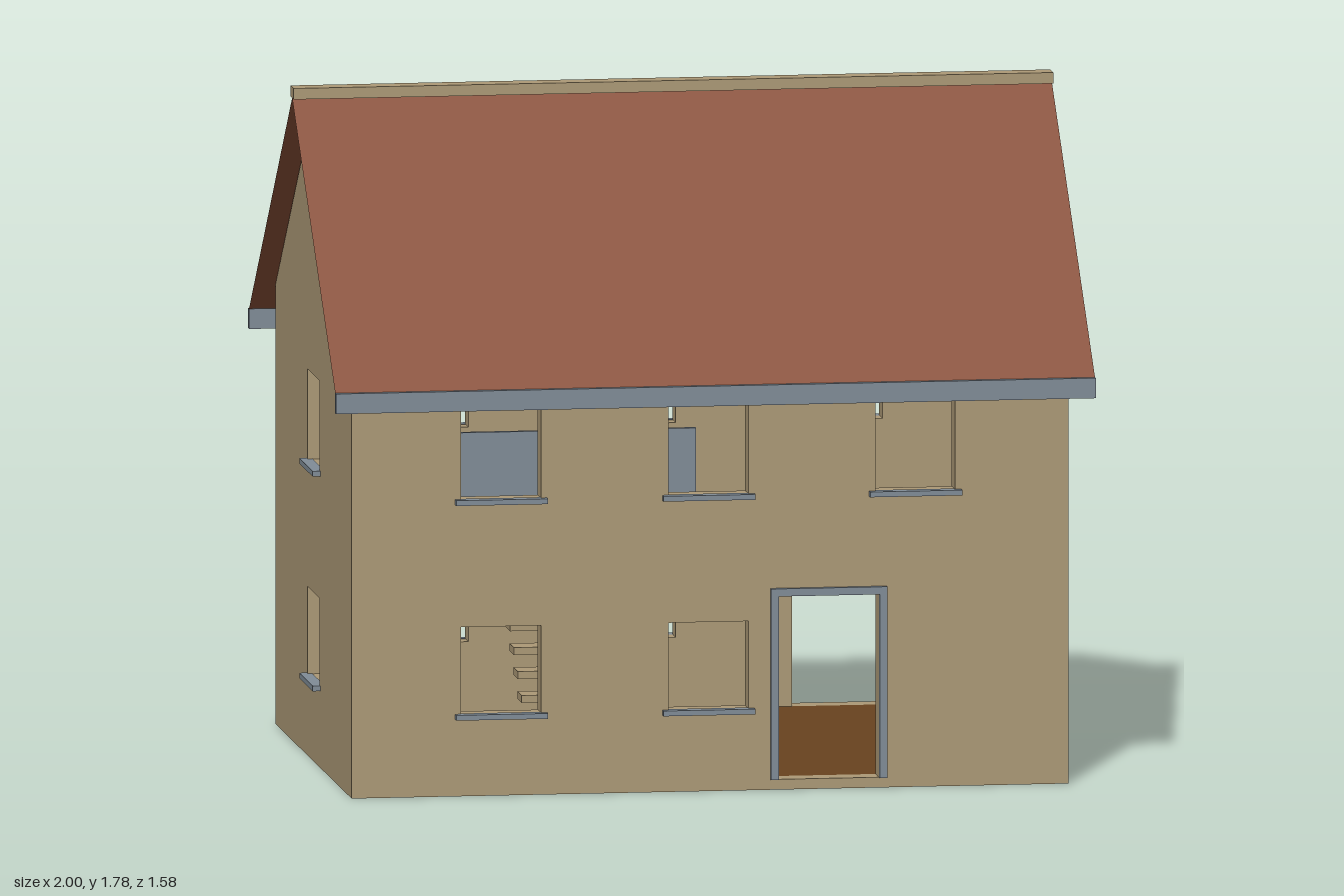
import * as THREE from 'three';

const mat = (name, color, double) => {
  const m = new THREE.MeshStandardMaterial({ color });
  m.name = name;
  if (double) m.side = THREE.DoubleSide;
  return m;
};

export function createModel() {
  const house = new THREE.Group();
  house.name = 'house';
  const stone = mat('tan stone', 0xac9976);
  const tile = mat('terracotta tile', 0x874e37, true);
  const trim = mat('slate trim', 0x808c97);
  const wood = mat('brown floor', 0x68431f);
  const plaster = mat('pale ceiling', 0xcdcbc9);

  const W = 0.943, D = 0.683, T = 0.06;       // half width, half depth, wall thickness
  const BASE = 0.01, EAVE = 1.168, APEX = 1.747;

  // Box given by its minimum and maximum corners
  const box = (name, m, x0, x1, y0, y1, z0, z1, parent = house) => {
    const mesh = new THREE.Mesh(new THREE.BoxGeometry(x1 - x0, y1 - y0, z1 - z0), m);
    mesh.position.set((x0 + x1) / 2, (y0 + y1) / 2, (z0 + z1) / 2);
    mesh.name = name;
    parent.add(mesh);
    return mesh;
  };

  // Wall in its own frame: outer face at z = 0, openings are [centre, width, bottom, top, kind]
  const wall = (name, outline, openings, place) => {
    const g = new THREE.Group();
    g.name = name;
    const shape = new THREE.Shape(outline.map(p => new THREE.Vector2(...p)));
    for (const [c, w, y0, y1, kind] of openings) {
      const a = c - w / 2, b = c + w / 2;
      shape.holes.push(new THREE.Path([[a, y0], [a, y1], [b, y1], [b, y0]].map(p => new THREE.Vector2(...p))));
      if (kind === 'door') {
        const f = 0.02;
        box('doorFrameSide', trim, a - f, a, y0, y1 + f, -0.012, 0.013, g);
        box('doorFrameSide', trim, b, b + f, y0, y1 + f, -0.012, 0.013, g);
        box('doorFrameTop', trim, a, b, y1, y1 + f, -0.012, 0.013, g);
      } else {
        box('windowSill', trim, a - 0.016, b + 0.016, y0 - 0.013, y0 + 0.001, -0.012, 0.02, g);
      }
    }
    const geo = new THREE.ExtrudeGeometry(shape, { depth: T, bevelEnabled: false });
    geo.translate(0, 0, -T);
    const mesh = new THREE.Mesh(geo, stone);
    mesh.name = name + 'Panel';
    g.add(mesh);
    place(g);
    house.add(g);
  };

  const low = c => [c, 0.21, 0.225, 0.455, 'window'];
  const high = c => [c, 0.21, 0.79, 1.027, 'window'];
  const door = c => [c, 0.266, 0.037, 0.52, 'door'];
  const longSide = [[-W, BASE], [W, BASE], [W, EAVE - 0.002], [-W, EAVE - 0.002]];
  const E = D - 0.001;
  const gable = [[-E, BASE], [E, BASE], [E, EAVE], [0, APEX], [-E, EAVE]];

  wall('frontWall', longSide,
    [low(-0.55), low(-0.004), door(0.312), high(-0.55), high(-0.004), high(0.54)],
    g => { g.position.z = D; });
  wall('backWall', longSide,
    [low(0.55), low(0.004), door(-0.54), high(0.55), high(0.004), high(-0.54)],
    g => { g.position.z = -D; g.rotation.y = Math.PI; });
  for (const s of [-1, 1]) {
    wall(s > 0 ? 'leftGable' : 'rightGable', gable, [low(0), high(0)],
      g => { g.position.x = s * (W + 0.0005); g.rotation.y = s * Math.PI / 2; });
  }

  // Ground slab and floor boards
  const ix = W - T, iz = D - T;
  box('groundSlab', stone, -W + 0.001, W - 0.001, BASE, 0.03, -D + 0.001, D - 0.001);
  box('groundFloor', wood, -ix, ix, 0.03, 0.037, -iz, iz);

  // Upper floor and ceiling with a stairwell
  const flat = (name, m, y, h, hole) => {
    const s = new THREE.Shape([[-ix, -iz], [ix, -iz], [ix, iz], [-ix, iz]].map(p => new THREE.Vector2(...p)));
    if (hole) s.holes.push(new THREE.Path([[-0.44, -0.36], [-0.44, 0.25], [-0.1, 0.25], [-0.1, -0.36]].map(p => new THREE.Vector2(...p))));
    const geo = new THREE.ExtrudeGeometry(s, { depth: h, bevelEnabled: false });
    geo.rotateX(-Math.PI / 2);
    const mesh = new THREE.Mesh(geo, m);
    mesh.position.y = y;
    mesh.name = name;
    house.add(mesh);
  };
  flat('lowerCeiling', plaster, 0.53, 0.015, true);
  flat('upperFloor', wood, 0.545, 0.015, true);
  flat('upperCeiling', plaster, 1.12, 0.02, false);

  // Open stairs rising towards the back, with a balustrade above
  const stairs = new THREE.Group();
  stairs.name = 'stairs';
  house.add(stairs);
  for (let i = 0; i < 9; i++) {
    const y = 0.08 + i * 0.053, z = 0.34 - i * 0.07;
    box('stairTread', stone, -0.43, -0.115, y, y + 0.02, z - 0.045, z + 0.035, stairs);
  }
  box('landingBeam', stone, -0.43, -0.05, 0.42, 0.46, -0.34, -0.29, stairs);
  box('balustrade', trim, -0.7, 0.12, 0.56, 0.81, -0.4, -0.385);

  // Thin roof slopes, eaves boards and ridge cap
  const RIDGE = 1.757, RZ = 0.775, RY = 1.09;
  for (const s of [-1, 1]) {
    const slope = new THREE.PlaneGeometry(2, Math.hypot(RZ, RIDGE - RY));
    slope.rotateX(-s * Math.atan2(RZ, RIDGE - RY));
    if (s < 0) slope.rotateZ(0).scale(1, 1, 1);
    const roof = new THREE.Mesh(slope, tile);
    // The back slope is the front one turned half round
    if (s < 0) {
      roof.geometry = new THREE.PlaneGeometry(2, Math.hypot(RZ, RIDGE - RY));
      roof.geometry.rotateX(-Math.atan2(RZ, RIDGE - RY)).rotateY(Math.PI);
    }
    roof.position.set(0, (RIDGE + RY) / 2, s * RZ / 2);
    roof.name = s > 0 ? 'frontRoof' : 'backRoof';
    house.add(roof);
    const z = s * 0.781;
    box('eavesBoard', trim, -1, 1, 1.038, 1.091, z - 0.008, z + 0.008);
  }
  box('ridgeCap', stone, -1, 1, 1.757, 1.786, -0.028, 0.028);

  return house;
}
